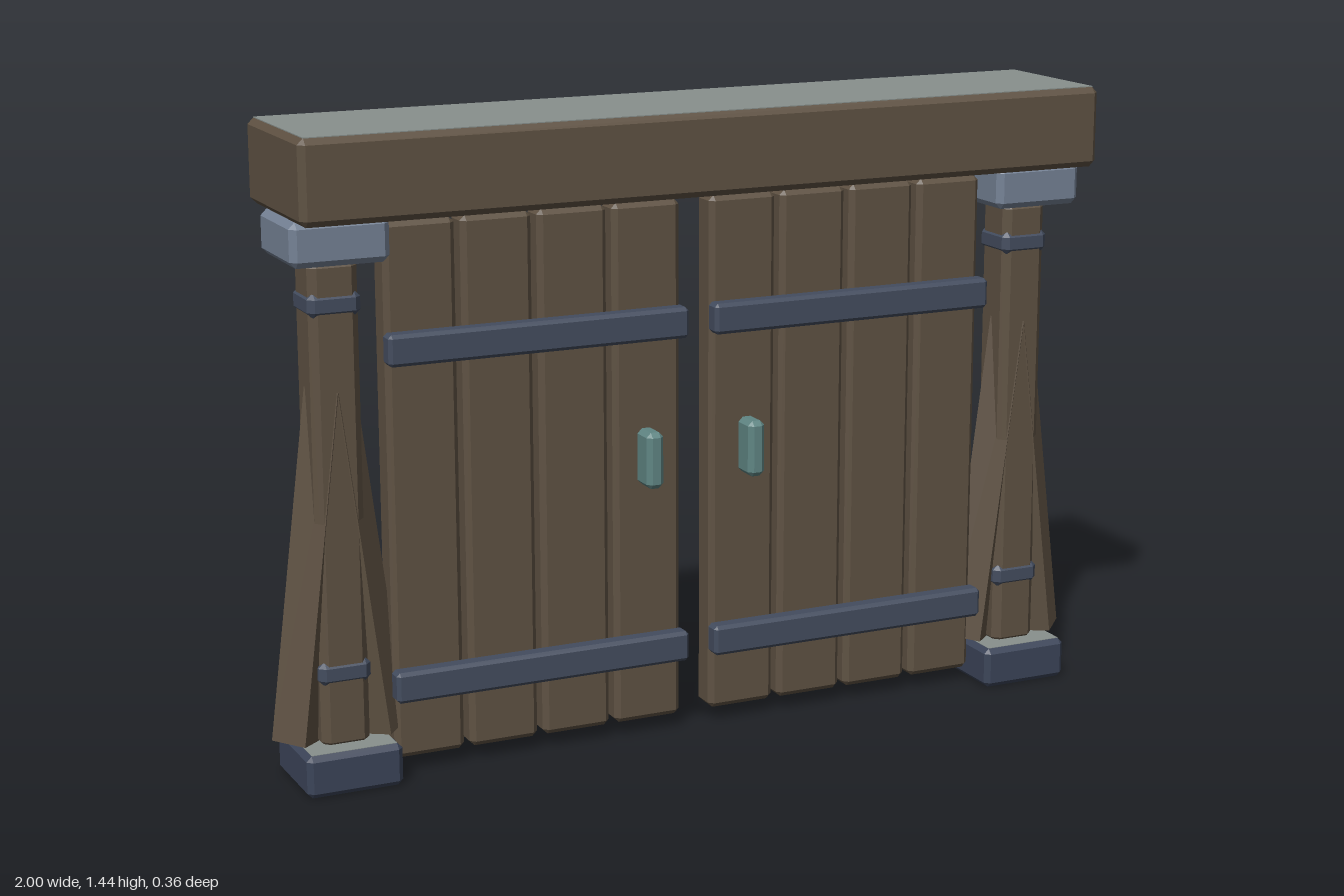
import * as THREE from 'three';
import { ConvexGeometry } from 'three/addons/geometries/ConvexGeometry.js';

const mat = (color) => new THREE.MeshStandardMaterial({ color });

export function createModel() {
  const root = new THREE.Group();
  root.name = 'woodenGate';
  const wood = mat(0x5e5142);
  const iron = mat(0x434c5e);
  const darkStone = mat(0x3b4458);
  const paleStone = mat(0x748194);
  const weathered = mat(0x88908d);
  const patina = mat(0x5f8583);

  // Box with all edges chamfered by c, given by its min and max on each axis
  function block(parent, name, material, [x0, x1], [y0, y1], [z0, z1], c) {
    const h = [(x1 - x0) / 2, (y1 - y0) / 2, (z1 - z0) / 2];
    const pts = [];
    for (const sx of [-1, 1]) for (const sy of [-1, 1]) for (const sz of [-1, 1]) {
      for (let face = 0; face < 3; face++) {
        const [x, y, z] = h.map((v, i) => (i === face ? v : v - c));
        pts.push(new THREE.Vector3(sx * x, sy * y, sz * z));
      }
    }
    const mesh = new THREE.Mesh(new ConvexGeometry(pts), material);
    mesh.position.set((x0 + x1) / 2, (y0 + y1) / 2, (z0 + z1) / 2);
    mesh.name = name;
    parent.add(mesh);
    return mesh;
  }

  // Thin pale surface lying on a block's flat top
  function topSheet(parent, name, x, y, w, d) {
    const mesh = new THREE.Mesh(new THREE.BoxGeometry(w, 0.002, d), weathered);
    mesh.position.set(x, y, 0);
    mesh.name = name;
    parent.add(mesh);
  }

  // Lintel beam
  block(root, 'lintel', wood, [-0.953, 0.953], [1.257, 1.441], [-0.182, 0.182], 0.014);
  topSheet(root, 'lintelTop', 0, 1.441, 1.88, 0.338);

  for (const side of [-1, 1]) {
    const label = side > 0 ? 'left' : 'right';

    // Post with foot, capital, iron bands and two leaning braces
    const post = new THREE.Group();
    post.name = label + 'Post';
    post.position.x = side * 0.845;
    root.add(post);
    const span = (r) => [-r, r];
    block(post, 'foot', darkStone, span(0.109), [0, 0.096], span(0.109), 0.012);
    topSheet(post, 'footTop', 0, 0.096, 0.194, 0.194);
    block(post, 'shaft', wood, span(0.055), [0.085, 1.165], span(0.055), 0.017);
    block(post, 'capital', paleStone, span(0.109), [1.16, 1.257], span(0.109), 0.014);
    for (const y of [0.23, 1.04]) {
      block(post, 'band', iron, span(0.059), [y, y + 0.056], span(0.059), 0.014);
    }
    for (const lean of [-1, 1]) {
      // Square timber turned on edge, foot outwards, head buried in the shaft
      const foot = new THREE.Vector3(lean * 0.098, 0.102, 0);
      const head = new THREE.Vector3(0, 0.88, 0);
      const dir = head.clone().sub(foot);
      const geo = new THREE.CylinderGeometry(0.057, 0.057, dir.length(), 4).toNonIndexed();
      geo.computeVertexNormals();
      const brace = new THREE.Mesh(geo, wood);
      brace.name = 'brace';
      brace.position.copy(foot).add(head).multiplyScalar(0.5);
      brace.quaternion.setFromUnitVectors(new THREE.Vector3(0, 1, 0), dir.normalize());
      post.add(brace);
    }

    // Door leaf: four planks, two straps and a pull handle
    const door = new THREE.Group();
    door.name = label + 'Door';
    root.add(door);
    const mirrored = (a, b) => (side > 0 ? [a, b] : [-b, -a]);
    for (let i = 0; i < 4; i++) {
      const x = 0.037 + i * 0.1763;
      block(door, 'plank', wood, mirrored(x, x + 0.163), [0.033, 1.232], [-0.036, 0.036], 0.012);
    }
    for (const y of [0.173, 0.925]) {
      block(door, 'strap', iron, mirrored(0.032, 0.735), [y, y + 0.07], [0.03, 0.075], 0.008);
    }
    block(door, 'handle', patina, mirrored(0.105, 0.146), [0.594, 0.723], [0.03, 0.1], 0.011);
  }
  return root;
}
